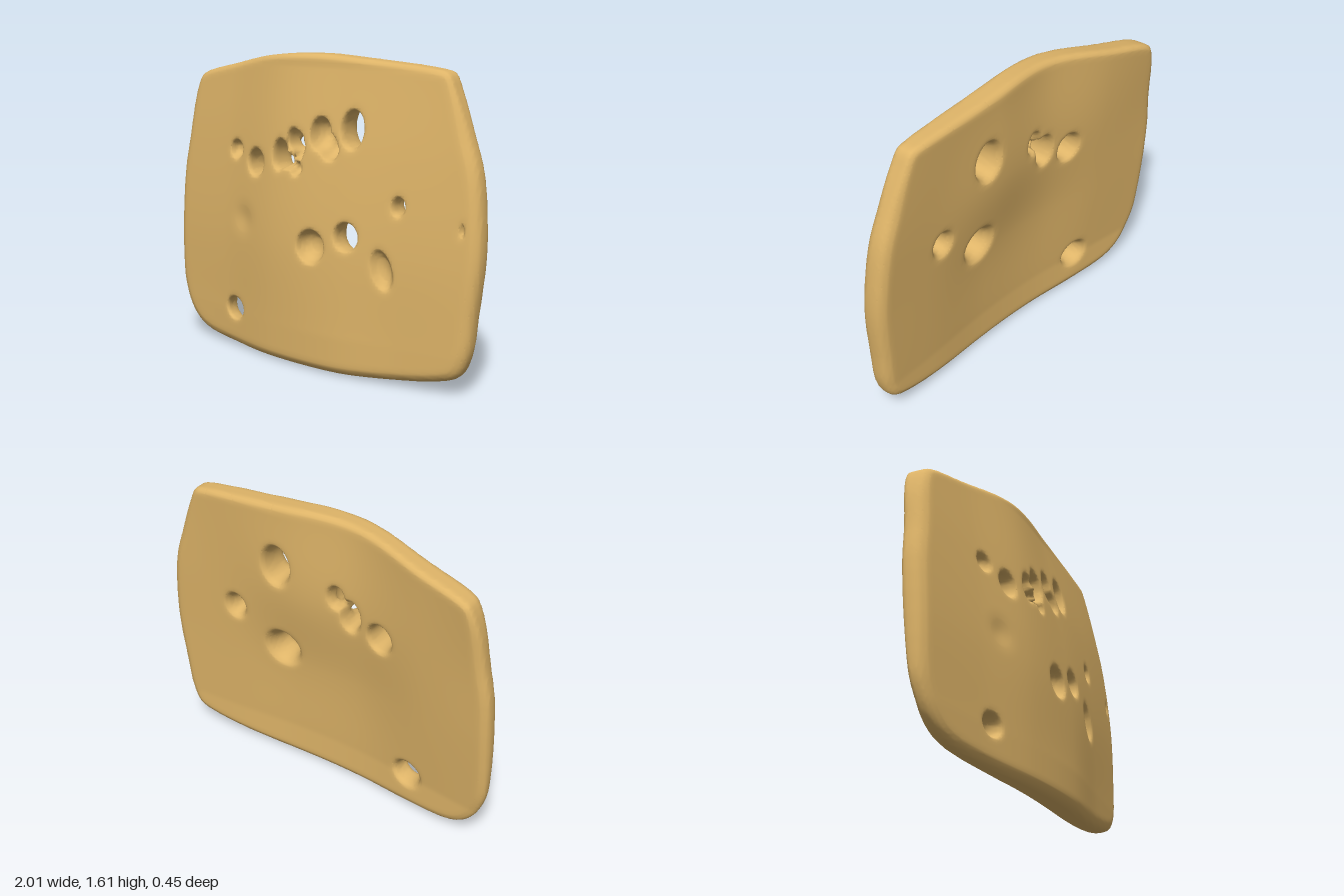
import * as THREE from 'three';

const HALF = 0.075, STEP = 0.016;

// Slab outline, seen from the front
const outline = new THREE.CatmullRomCurve3([
  [-0.87, 1.46], [-0.6, 1.53], [-0.3, 1.59], [0, 1.61], [0.3, 1.595], [0.73, 1.56], [0.775, 1.545],
  [0.82, 1.46], [0.9, 1.27], [0.96, 1.1], [0.99, 0.9], [1, 0.68], [0.975, 0.4], [0.95, 0.2], [0.9, 0.1],
  [0.8, 0.06], [0.4, 0.01], [0, 0], [-0.5, 0.01], [-0.8, 0.05], [-0.91, 0.13], [-0.98, 0.27], [-1, 0.4],
  [-1, 0.9], [-0.97, 1.1], [-0.94, 1.3], [-0.9, 1.42],
].map(([x, y]) => new THREE.Vector3(x, y, 0)), true).getPoints(130).slice(0, -1);

// Holes through the slab: x, y, rx, ry, flare at the back
const holes = [
  [-0.355, 1.03, 0.06, 0.068, 0.015], [-0.175, 1.09, 0.045, 0.075, 0.015], [-0.09, 1.175, 0.036, 0.052, 0.012],
  [0.27, 1.25, 0.064, 0.092, 0.025], [0.275, 0.72, 0.066, 0.068, 0.045], [0.565, 0.9, 0.033, 0.043, 0.035],
  [-0.51, 0.215, 0.065, 0.06, 0.025],
];
// Hollows in the front: x, y, rx, ry, depth, tilt
const hollows = [
  [-0.525, 1.08, 0.05, 0.05, 0.06, 0], [0.08, 1.215, 0.062, 0.085, 0.09, 0], [0.135, 1.155, 0.055, 0.07, 0.09, 0.5],
  [-0.055, 1.14, 0.04, 0.075, 0.09, 0], [-0.06, 1.03, 0.035, 0.035, 0.06, 0], [-0.12, 1.06, 0.035, 0.04, 0.07, 0],
  [0.06, 0.645, 0.085, 0.085, 0.075, 0], [0.49, 0.58, 0.055, 0.1, 0.045, 0.3],
  [-0.44, 0.72, 0.06, 0.06, 0.012, 0], [0.91, 0.82, 0.012, 0.03, 0.03, 0],
];

// Depth of the two faces: rows from y = 0.2 to 1.55, columns from x = -1 to 1
const frontFace = [
  [-0.03, 0.07, 0.175, 0.225, 0.2, 0.185],
  [-0.04, 0.06, 0.17, 0.205, 0.192, 0.17],
  [-0.075, 0.022, 0.13, 0.153, 0.15, 0.135],
  [-0.13, -0.035, 0.068, 0.075, 0.08, 0.085],
];
const backFace = [
  [-0.115, -0.04, 0.033, 0.06, 0.053, 0.055],
  [-0.16, -0.09, 0.0, 0.025, 0.022, 0.03],
  [-0.2, -0.138, -0.062, -0.052, -0.015, 0.0],
  [-0.27, -0.175, -0.062, -0.065, -0.047, -0.012],
];

// Smooth curve through evenly spaced values
function through(values, t) {
  const last = values.length - 1, u = THREE.MathUtils.clamp(t, 0, 1) * last;
  const i = Math.min(Math.floor(u), last - 1), f = u - i;
  const b = values[i], c = values[i + 1];
  const a = i > 0 ? values[i - 1] : 2 * b - c, d = i + 2 <= last ? values[i + 2] : 2 * c - b;
  return b + 0.5 * f * (c - a + f * (2 * a - 5 * b + 4 * c - d + f * (3 * (b - c) + d - a)));
}
const faceDepth = (face, x, y) => through(face.map((row) => through(row, (x + 1) / 2)), (y - 0.2) / 1.35);

// Signed distance to the outline, negative inside
function outlineDistance(x, y) {
  let best = Infinity, inside = false;
  for (let i = 0, j = outline.length - 1; i < outline.length; j = i++) {
    const a = outline[i], b = outline[j], ex = b.x - a.x, ey = b.y - a.y;
    const t = THREE.MathUtils.clamp(((x - a.x) * ex + (y - a.y) * ey) / (ex * ex + ey * ey), 0, 1);
    best = Math.min(best, Math.hypot(x - a.x - ex * t, y - a.y - ey * t));
    if ((a.y > y) !== (b.y > y) && x < (ex * (y - a.y)) / ey + a.x) inside = !inside;
  }
  return inside ? -best : best;
}

// Smooth maximum rounds the lips of the holes
function smoothMax(a, b, k) {
  const h = Math.max(k - Math.abs(a - b), 0) / k;
  return Math.max(a, b) + h * h * k * 0.25;
}

function slabDistance(edge, x, y, w) {
  // Rim is rounder at the sides and bottom than at the top
  const r = 0.06 - 0.025 * THREE.MathUtils.smoothstep(y, 1.2, 1.5);
  const a = edge + r, b = Math.abs(w) - HALF + r;
  let d = Math.min(Math.max(a, b), 0) + Math.hypot(Math.max(a, 0), Math.max(b, 0)) - r;
  const s = THREE.MathUtils.clamp((HALF - w) / (2 * HALF), 0, 1.2);
  for (const [hx, hy, rx, ry, flare] of holes) {
    const f = flare * s * s * s, ax = rx + f, ay = ry + f;
    const hole = (Math.hypot((x - hx) / ax, (y - hy) / ay) - 1) * Math.min(ax, ay);
    d = smoothMax(d, -hole, 0.02);
  }
  for (const [hx, hy, rx, ry, depth, tilt] of hollows) {
    const c = Math.cos(tilt), n = Math.sin(tilt), px = x - hx, py = y - hy;
    const hollow = (Math.hypot((px * c + py * n) / rx, (py * c - px * n) / ry, (w - HALF) / depth) - 1)
      * Math.min(rx, ry, depth);
    d = smoothMax(d, -hollow, 0.012);
  }
  return d;
}

// Surface of a flat slab found on a regular grid, then fitted between the two faces
function slabGeometry() {
  const min = [-1.04, -0.04, -0.104], n = [131, 107, 14];
  const id = (i, j, k) => (i * n[1] + j) * n[2] + k;
  const field = new Float32Array(n[0] * n[1] * n[2]);
  for (let i = 0; i < n[0]; i++) for (let j = 0; j < n[1]; j++) {
    const x = min[0] + i * STEP, y = min[1] + j * STEP, edge = outlineDistance(x, y);
    for (let k = 0; k < n[2]; k++) field[id(i, j, k)] = slabDistance(edge, x, y, min[2] + k * STEP);
  }
  const positions = [], index = [], cell = new Int32Array(field.length).fill(-1);
  const corner = (c) => [c & 1, (c >> 1) & 1, c >> 2];

  // One vertex in each cell that the surface crosses
  for (let i = 0; i < n[0] - 1; i++) for (let j = 0; j < n[1] - 1; j++) for (let k = 0; k < n[2] - 1; k++) {
    const sum = [0, 0, 0];
    let count = 0;
    for (let c = 0; c < 8; c++) for (let axis = 0; axis < 3; axis++) {
      if (c & (1 << axis)) continue;
      const p = corner(c), q = corner(c | (1 << axis));
      const a = field[id(i + p[0], j + p[1], k + p[2])], b = field[id(i + q[0], j + q[1], k + q[2])];
      if ((a < 0) === (b < 0)) continue;
      p[axis] += a / (a - b);
      for (let m = 0; m < 3; m++) sum[m] += p[m];
      count++;
    }
    if (!count) continue;
    const [x, y, w] = [i, j, k].map((g, m) => min[m] + (g + sum[m] / count) * STEP);
    cell[id(i, j, k)] = positions.length / 3;
    const back = faceDepth(backFace, x, y), front = faceDepth(frontFace, x, y);
    positions.push(x, y, THREE.MathUtils.lerp(back, front, 0.5 + w / (2 * HALF)));
  }

  // One quad around each crossed grid edge
  for (let i = 1; i < n[0] - 1; i++) for (let j = 1; j < n[1] - 1; j++) for (let k = 1; k < n[2] - 1; k++) {
    for (let axis = 0; axis < 3; axis++) {
      const g = [i, j, k], e = [i, j, k];
      e[axis]++;
      const inA = field[id(...g)] < 0, inB = field[id(...e)] < 0;
      if (inA === inB) continue;
      const u = (axis + 1) % 3, v = (axis + 2) % 3;
      const quad = [[1, 1], [0, 1], [0, 0], [1, 0]].map(([du, dv]) => {
        const p = [...g];
        p[u] -= du;
        p[v] -= dv;
        return cell[id(...p)];
      });
      if (!inA) quad.reverse();
      index.push(quad[0], quad[1], quad[2], quad[0], quad[2], quad[3]);
    }
  }
  const geometry = new THREE.BufferGeometry();
  geometry.setAttribute('position', new THREE.Float32BufferAttribute(positions, 3));
  geometry.setIndex(index);
  geometry.computeVertexNormals();
  return geometry;
}

export function createModel() {
  const group = new THREE.Group();
  group.name = 'cheeseSlice';
  const cheese = new THREE.MeshStandardMaterial({ color: 0xdeb468 });
  cheese.name = 'cheese yellow';
  const slab = new THREE.Mesh(slabGeometry(), cheese);
  slab.name = 'slice';
  group.add(slab);
  return group;
}
